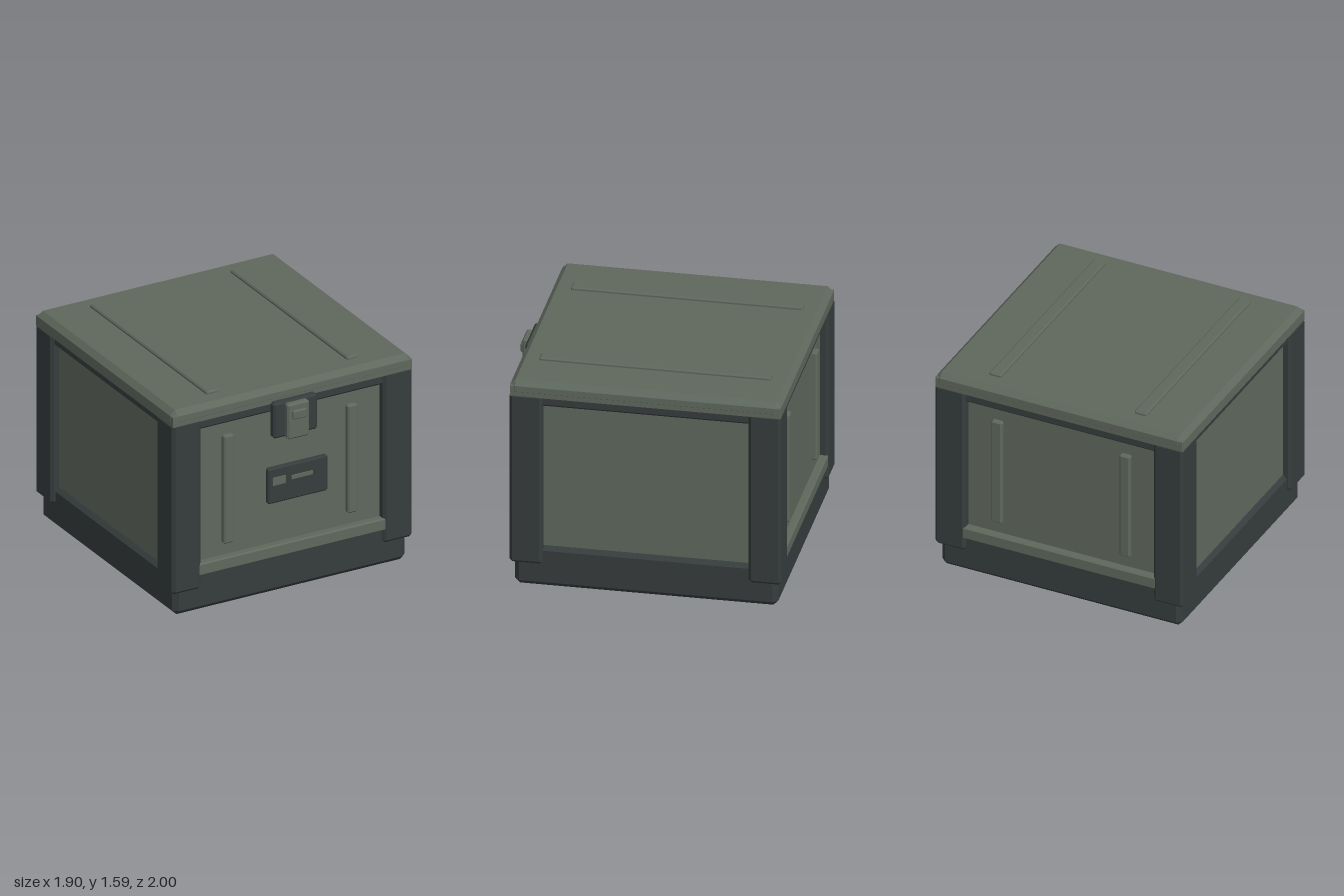
import * as THREE from 'three';
import { ConvexGeometry } from 'three/addons/geometries/ConvexGeometry.js';

const green = new THREE.MeshStandardMaterial({ color: 0x5f685d });
green.name = 'olive green';
const dark = new THREE.MeshStandardMaterial({ color: 0x363c3d });
dark.name = 'dark slate';

// Box with chamfered edges, given by its extents on each axis
function chamferBox(name, material, [x0, x1], [y0, y1], [z0, z1], bevel) {
  const h = [(x1 - x0) / 2, (y1 - y0) / 2, (z1 - z0) / 2];
  const points = [];
  for (const sx of [-1, 1]) for (const sy of [-1, 1]) for (const sz of [-1, 1]) {
    for (let full = 0; full < 3; full++) {
      const [a, b, c] = h.map((v, i) => (i === full ? v : v - bevel));
      points.push(new THREE.Vector3(sx * a, sy * b, sz * c));
    }
  }
  const mesh = new THREE.Mesh(new ConvexGeometry(points), material);
  mesh.position.set((x0 + x1) / 2, (y0 + y1) / 2, (z0 + z1) / 2);
  mesh.name = name;
  return mesh;
}

export function createModel() {
  const model = new THREE.Group();
  model.name = 'storageCrate';

  // The case is centred a little behind the origin to leave room for the latch
  const crate = new THREE.Group();
  crate.name = 'case';
  crate.position.z = -0.05;
  model.add(crate);

  // Base, panelled body, upper rail and lid
  crate.add(
    chamferBox('base', dark, [-0.92, 0.92], [0, 0.31], [-0.92, 0.92], 0.035),
    chamferBox('body', green, [-0.89, 0.89], [0.25, 1.5], [-0.89, 0.89], 0.01),
    chamferBox('upperRail', dark, [-0.925, 0.925], [1.38, 1.5], [-0.93, 0.93], 0.015),
    chamferBox('lidSkirt', green, [-0.946, 0.946], [1.45, 1.53], [-0.946, 0.946], 0.002),
    chamferBox('lid', green, [-0.948, 0.948], [1.45, 1.568], [-0.948, 0.948], 0.038),
  );

  // Corner pillars
  for (const x of [-0.835, 0.835]) for (const z of [-0.835, 0.835]) {
    crate.add(chamferBox('cornerPillar', dark,
      [x - 0.115, x + 0.115], [0.18, 1.47], [z - 0.115, z + 0.115], 0.02));
  }

  // Sills and vertical ribs on the front and back
  for (const side of [-1, 1]) {
    const depth = (a, b) => (side > 0 ? [a, b] : [-b, -a]);
    crate.add(chamferBox('sill', green, [-0.745, 0.745], [0.275, 0.368], depth(0.85, 0.945), 0.01));
    for (const x of [-0.49, 0.49]) {
      crate.add(chamferBox('panelRib', green,
        [x - 0.04, x + 0.04], [0.46, 1.28], depth(0.86, 0.925), 0.01));
    }
  }

  // Raised strips along the lid
  for (const x of [-0.555, 0.555]) {
    crate.add(chamferBox('lidStrip', green,
      [x - 0.046, x + 0.046], [1.55, 1.59], [-0.81, 0.81], 0.01));
  }

  // Latch: backing plate, hasp and button
  const latch = new THREE.Group();
  latch.name = 'latch';
  latch.add(
    chamferBox('latchPlate', dark, [-0.175, 0.175], [1.2, 1.47], [0.88, 0.942], 0.015),
    chamferBox('latchHasp', green, [-0.086, 0.086], [1.19, 1.458], [0.93, 0.982], 0.012),
    chamferBox('latchButton', green, [-0.055, 0.055], [1.343, 1.41], [0.97, 1.0], 0.008),
  );
  model.add(latch);

  // Label plate with two small markers
  const label = new THREE.Group();
  label.name = 'labelPlate';
  label.add(
    chamferBox('plate', dark, [-0.18, 0.295], [0.675, 0.945], [0.82, 0.872], 0.012),
    chamferBox('squareMarker', green, [-0.145, -0.042], [0.812, 0.874], [0.87, 0.877], 0.002),
    chamferBox('barMarker', green, [0.003, 0.172], [0.828, 0.86], [0.87, 0.877], 0.002),
  );
  model.add(label);

  return model;
}
